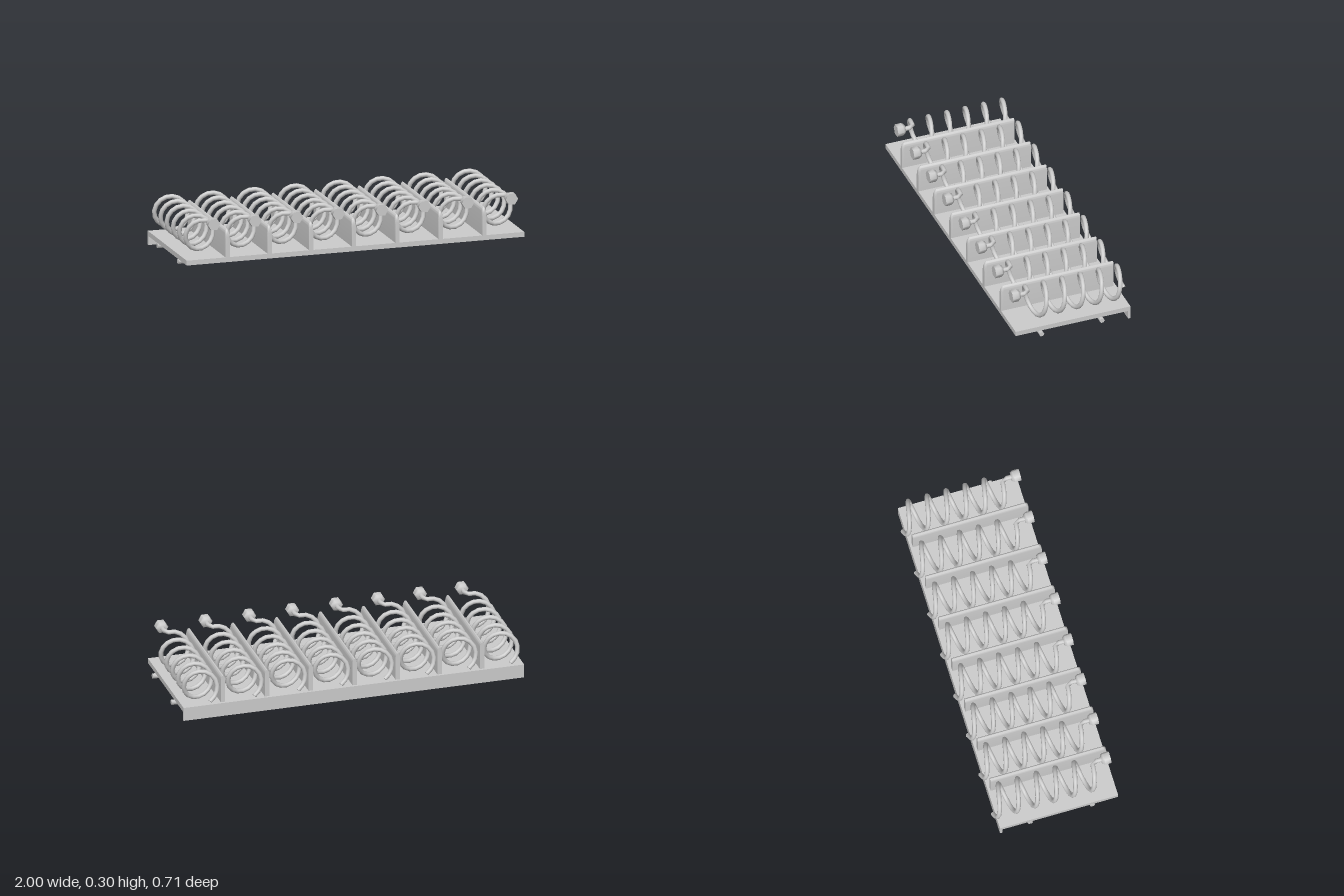
import * as THREE from 'three';
import { toCreasedNormals } from 'three/addons/utils/BufferGeometryUtils.js';

const metal = new THREE.MeshStandardMaterial({ color: 0xcccccc, side: THREE.DoubleSide });

function part(name, geometry, x = 0, y = 0, z = 0) {
  const mesh = new THREE.Mesh(geometry, metal);
  mesh.name = name;
  mesh.position.set(x, y, z);
  return mesh;
}

// Upright divider: bullet cross-section along z, top front corner rounded off
function dividerGeometry() {
  const w = 0.0125, h = 0.161, front = 0.352, back = -0.32, steps = 8;
  const shape = new THREE.Shape();
  shape.moveTo(-w, 0);
  shape.lineTo(w, 0);
  shape.lineTo(w, h - 0.03);
  shape.absellipse(0, h - 0.03, w, 0.03, 0, Math.PI, false, 0);
  shape.lineTo(-w, 0);
  const geo = new THREE.ExtrudeGeometry(shape, { depth: 1, steps, bevelEnabled: false, curveSegments: 8 });
  const pos = geo.attributes.position;
  for (let i = 0; i < pos.count; i++) {
    const k = Math.round(pos.getZ(i) * steps);
    if (k === 0) { pos.setZ(i, back); continue; }
    const a = ((k - 1) / (steps - 1)) * Math.PI / 2;
    pos.setZ(i, front - 0.02 * (1 - Math.sin(a)));
    pos.setY(i, pos.getY(i) * (1 - 0.04 * (1 - Math.cos(a)) / h));
  }
  return toCreasedNormals(geo, 0.6);
}

// Coil: straight lead-in at the front, then a helix running to the back
const R = 0.089, PITCH = 0.11, TUBE = 0.013;
function coilCurve() {
  const points = [new THREE.Vector3(0.035, 0.086, 0.31), new THREE.Vector3(0.035, 0.086, 0.265),
    new THREE.Vector3(0.026, 0.086, 0.25)];
  const end = 10 * Math.PI + 2.65, n = 65;
  for (let i = 0; i <= n; i++) {
    const t = 0.15 + (end - 0.15) * i / n;
    points.push(new THREE.Vector3(-R * Math.sin(t), R * Math.cos(t), 0.247 - PITCH * t / (2 * Math.PI)));
  }
  return new THREE.CatmullRomCurve3(points);
}

// Six-sided knob on the front end of the coil, chamfered at its rear
function knobGeometry() {
  const profile = [[0, 0], [0.027, 0], [0.036, 0.014], [0.036, 0.05], [0, 0.05]]
    .map(([r, y]) => new THREE.Vector2(r, y));
  const geo = new THREE.LatheGeometry(profile, 6, Math.PI / 6);
  geo.rotateX(Math.PI / 2);
  return toCreasedNormals(geo, 1.1);
}

export function createModel() {
  const model = new THREE.Group();
  model.name = 'coilTray';

  // Tray and rear lip
  model.add(part('trayPlate', new THREE.BoxGeometry(1.978, 0.028, 0.672), -0.008, 0.065, 0.016));
  model.add(part('rearLip', new THREE.BoxGeometry(1.978, 0.079, 0.014), -0.008, 0.0395, -0.327));

  // Mounting pegs under both side edges
  const peg = toCreasedNormals(new THREE.CylinderGeometry(0.015, 0.015, 0.045, 6).rotateZ(Math.PI / 2), 1.1);
  for (const x of [-0.9775, 0.9775])
    for (const z of [0.203, -0.158]) model.add(part('mountingPeg', peg, x, 0.038, z));

  // Dividers
  const divider = dividerGeometry();
  for (const x of [-0.757, -0.51, -0.267, -0.017, 0.238, 0.492, 0.748])
    model.add(part('divider', divider, x, 0.079, 0));

  // Coils with knobs
  const curve = coilCurve();
  const coil = new THREE.TubeGeometry(curve, 90, TUBE, 10);
  const cap = new THREE.CircleGeometry(TUBE, 10);
  const tip = curve.getPoint(1);
  const tipDirection = curve.getTangent(1);
  const knob = knobGeometry();
  for (const x of [-0.871, -0.629, -0.385, -0.141, 0.113, 0.363, 0.617, 0.874]) {
    const unit = new THREE.Group();
    unit.name = 'coilUnit';
    unit.position.set(x, 0.186, 0);
    const coilEnd = part('coilEnd', cap, tip.x, tip.y, tip.z);
    coilEnd.quaternion.setFromUnitVectors(new THREE.Vector3(0, 0, 1), tipDirection);
    unit.add(part('coil', coil), coilEnd, part('coilKnob', knob, 0.035, 0.087, 0.302));
    model.add(unit);
  }
  return model;
}
